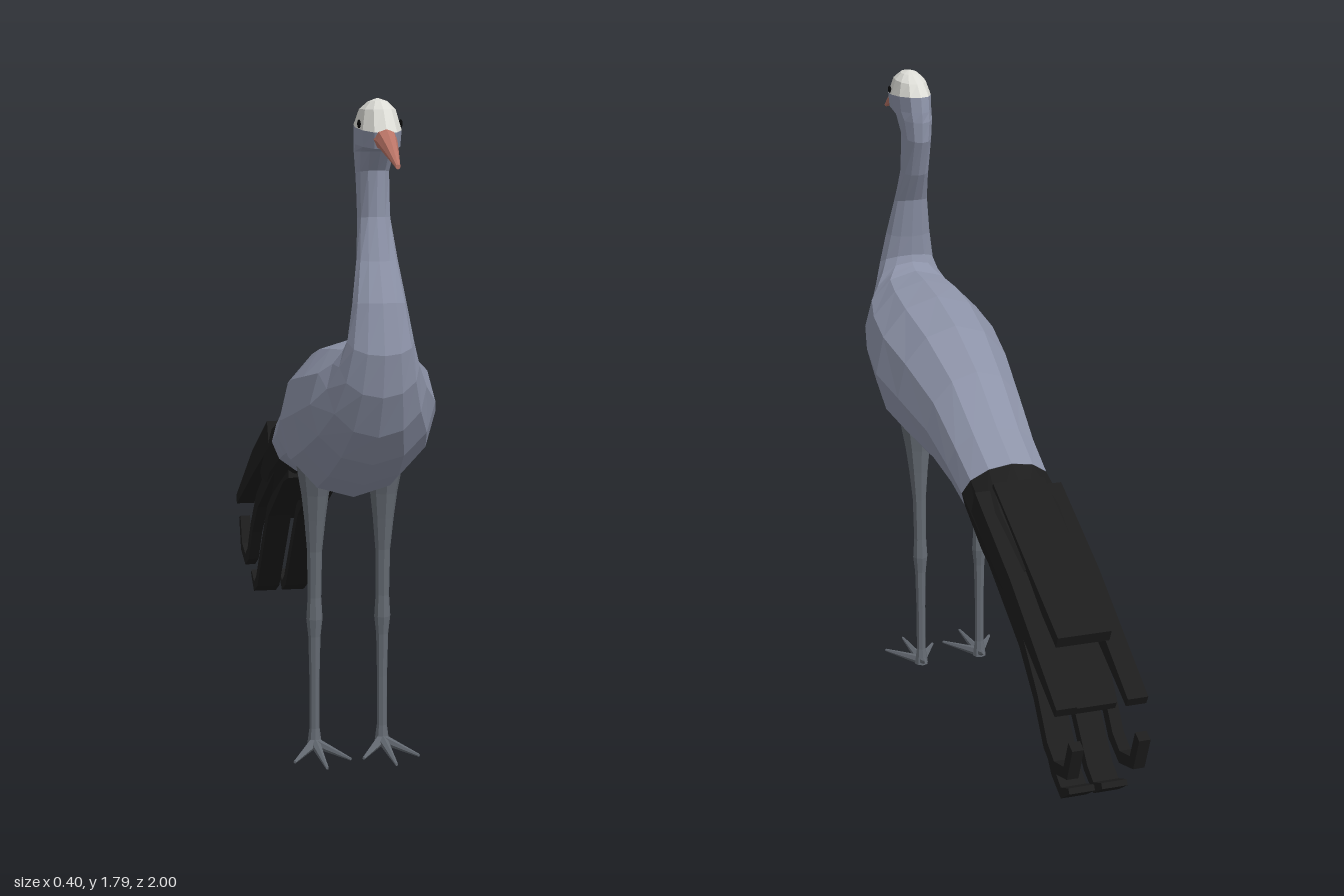
import * as THREE from 'three';

const flat = (name, color) => {
  const m = new THREE.MeshStandardMaterial({ color, flatShading: true });
  m.name = name;
  return m;
};

// Skin over rings given as [topZ, topY, bottomZ, bottomY, halfWidth, squareness]
function loft(rings, sides = 12, cx = 0) {
  const pos = [], idx = [];
  for (const [zt, yt, zb, yb, w, p = 1] of rings) {
    for (let k = 0; k < sides; k++) {
      const a = (k / sides) * Math.PI * 2;
      const bend = (v) => Math.sign(v) * Math.pow(Math.abs(v) < 1e-6 ? 0 : Math.abs(v), p);
      const s = bend(Math.sin(a)), c = bend(Math.cos(a));
      pos.push(cx + w * s, (yt + yb) / 2 + c * (yt - yb) / 2, (zt + zb) / 2 + c * (zt - zb) / 2);
    }
  }
  const last = rings.length - 1;
  for (let j = 0; j < last; j++) {
    for (let k = 0; k < sides; k++) {
      const a = j * sides + k, b = j * sides + (k + 1) % sides;
      idx.push(a, a + sides, b, b, a + sides, b + sides);
    }
  }
  // End caps
  for (const j of [0, last]) {
    const [zt, yt, zb, yb] = rings[j], centre = pos.length / 3;
    pos.push(cx, (yt + yb) / 2, (zt + zb) / 2);
    for (let k = 0; k < sides; k++) {
      const a = j * sides + k, b = j * sides + (k + 1) % sides;
      if (j === 0) idx.push(centre, a, b); else idx.push(centre, b, a);
    }
  }
  const g = new THREE.BufferGeometry();
  g.setAttribute('position', new THREE.Float32BufferAttribute(pos, 3));
  g.setIndex(idx);
  g.computeVertexNormals();
  return g;
}

// Ribbon following [z, y, halfThickness] points, spanning x0 to x1
function feather(path, x0, x1) {
  const upper = [], lower = [];
  path.forEach(([z, y, h], i) => {
    const a = path[Math.max(i - 1, 0)], b = path[Math.min(i + 1, path.length - 1)];
    const n = new THREE.Vector2(-(b[1] - a[1]), b[0] - a[0]).normalize().multiplyScalar(h);
    upper.push(new THREE.Vector2(z + n.x, y + n.y));
    lower.unshift(new THREE.Vector2(z - n.x, y - n.y));
  });
  const g = new THREE.ExtrudeGeometry(new THREE.Shape([...upper, ...lower]), { depth: x1 - x0, bevelEnabled: false });
  return g.rotateY(-Math.PI / 2).translate(x1, 0, 0);
}

// Tapered rod between two points
function rod(from, to, r0, r1) {
  const a = new THREE.Vector3(...from), b = new THREE.Vector3(...to), d = b.clone().sub(a);
  const g = new THREE.CylinderGeometry(r1, r0, d.length(), 6);
  g.applyQuaternion(new THREE.Quaternion().setFromUnitVectors(new THREE.Vector3(0, 1, 0), d.normalize()));
  return g.translate((a.x + b.x) / 2, (a.y + b.y) / 2, (a.z + b.z) / 2);
}

export function createModel() {
  const group = new THREE.Group();
  const plumage = flat('blue grey plumage', 0x8d93a8);
  const crown = flat('white crown', 0xdcdcd6);
  const black = flat('black tail', 0x1d1d1d);
  const horn = flat('pink beak', 0xb97466);
  const skin = flat('grey legs', 0x646a72);
  const dark = flat('dark eye', 0x0a0a0a);
  const add = (name, geometry, material) => {
    const mesh = new THREE.Mesh(geometry, material);
    mesh.name = name;
    group.add(mesh);
    return mesh;
  };

  // Body, neck and lower head in one skin from tail to face
  const browRing = [0.626, 1.735, 0.868, 1.715, 0.057];
  add('body', loft([
    [-0.21, 0.867, -0.1, 0.68, 0.13],
    [-0.08, 0.93, 0, 0.7, 0.135],
    [0.1, 1.04, 0.12, 0.705, 0.15],
    [0.3, 1.12, 0.3, 0.707, 0.18],
    [0.48, 1.16, 0.44, 0.72, 0.2],
    [0.61, 1.175, 0.58, 0.78, 0.19],
    [0.7, 1.18, 0.7, 0.855, 0.165],
    [0.725, 1.19, 0.78, 0.94, 0.13],
    [0.735, 1.2, 0.835, 1.05, 0.104],
    [0.742, 1.22, 0.855, 1.16, 0.086],
    [0.735, 1.28, 0.828, 1.29, 0.07],
    [0.715, 1.4, 0.78, 1.39, 0.053],
    [0.66, 1.49, 0.748, 1.5, 0.043],
    [0.615, 1.6, 0.748, 1.617, 0.043],
    [0.613, 1.66, 0.79, 1.666, 0.05],
    [0.616, 1.69, 0.862, 1.675, 0.055],
    browRing,
  ]), plumage);
  add('crown', loft([
    browRing,
    [0.664, 1.768, 0.822, 1.772, 0.045],
    [0.71, 1.788, 0.785, 1.791, 0.025],
    [0.742, 1.797, 0.75, 1.797, 0.004],
  ]), crown);
  add('beak', loft([
    [0.82, 1.735, 0.82, 1.672, 0.034],
    [0.87, 1.722, 0.87, 1.669, 0.026],
    [0.93, 1.69, 0.93, 1.653, 0.017],
    [1.0, 1.646, 1.0, 1.634, 0.006],
  ], 8), horn);

  // Tail root and the central feathers
  add('tailRoot', loft([
    [-0.55, 0.7, -0.48, 0.53, 0.11, 0.6],
    [-0.35, 0.796, -0.28, 0.625, 0.128, 0.65],
    [-0.21, 0.866, -0.1, 0.681, 0.1295, 1],
  ]), black);
  add('topFeather', feather([[-0.26, 0.818, 0.022], [-0.79, 0.582, 0.018]], -0.075, 0.075), black);
  add('middleFeather', feather([[-0.25, 0.72, 0.03], [-0.55, 0.575, 0.03], [-0.85, 0.408, 0.012]], -0.07, 0.07), black);

  for (const side of [-1, 1]) {
    const word = side > 0 ? 'left' : 'right';
    const paired = (path, a, b) => side > 0 ? feather(path, a, b) : feather(path, -b, -a);

    // Long side feathers and the curled plumes
    add(word + 'SideFeather', paired([[-0.25, 0.78, 0.04], [-0.55, 0.645, 0.035], [-0.925, 0.45, 0.014]], 0.07, 0.127), black);
    add(word + 'CurledFeather', paired([
      [-0.25, 0.7, 0.03], [-0.6, 0.51, 0.024], [-0.72, 0.4, 0.02], [-0.8, 0.295, 0.02],
      [-0.865, 0.263, 0.018], [-0.95, 0.288, 0.018], [-0.985, 0.38, 0.016],
    ], 0.076, 0.108), black);
    add(word + 'LowerFeather', paired([
      [-0.15, 0.685, 0.02], [-0.25, 0.655, 0.02], [-0.55, 0.485, 0.018], [-0.79, 0.205, 0.018],
      [-0.85, 0.175, 0.016], [-0.91, 0.21, 0.008],
    ], 0.01, 0.082), black);

    // Leg with a knee bulge
    const cx = side * 0.095;
    const legRings = [
      [0.01, 0.022], [0.06, 0.015], [0.2, 0.015], [0.32, 0.018], [0.37, 0.024],
      [0.43, 0.02], [0.56, 0.022], [0.65, 0.031], [0.72, 0.04], [0.8, 0.055],
    ].map(([y, r]) => {
      const z = 0.368 + Math.max(0, y - 0.5) * 0.06;
      return [z - r, y, z + r, y, r * 0.95];
    });
    add(word + 'Leg', loft(legRings, 8, cx), skin);

    // Three front toes and a short hind toe
    const toes = [[0, 0.57, 0.006], [0.077, 0.5, 0.006], [-0.077, 0.5, 0.006], [0, 0.325, 0.032]];
    toes.forEach(([dx, z, y], i) =>
      add(word + 'Toe' + (i + 1), rod([cx, 0.018, 0.37], [cx + dx, y, z], 0.015, 0.004), skin));

    // Eye
    const eye = add(word + 'Eye', new THREE.SphereGeometry(0.011, 8, 6).scale(0.4, 1, 1.1), dark);
    eye.position.set(side * 0.053, 1.735, 0.778);
  }
  return group;
}
